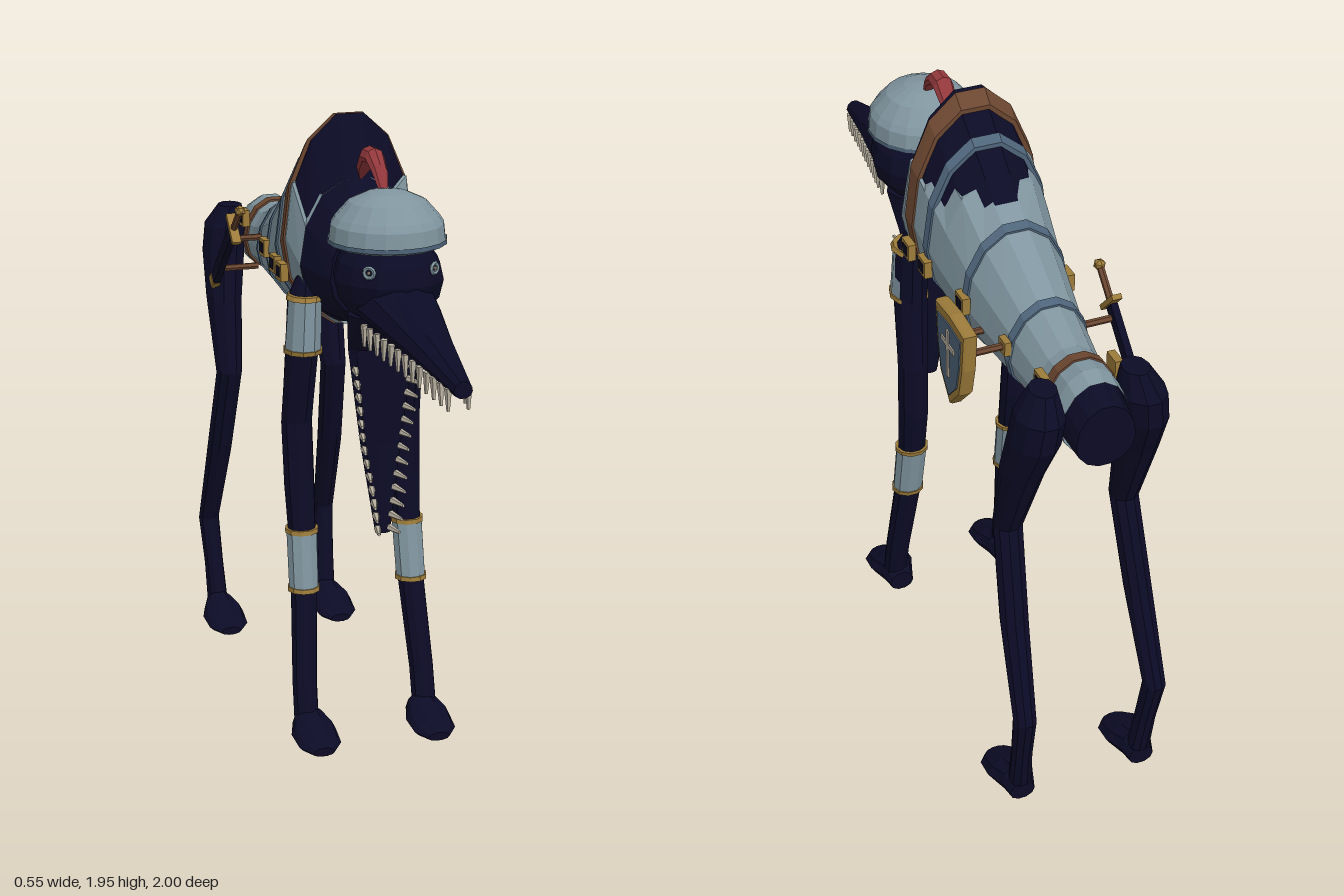
import * as THREE from 'three';

const mat = (name, color) => new THREE.MeshStandardMaterial({ name, color, flatShading: true, side: THREE.DoubleSide });

export function createModel() {
  const hide = mat('dark hide', 0x0c0b26), steel = mat('steel', 0x80959f), blue = mat('blue steel', 0x4e647a);
  const gold = mat('gold', 0x9c7b3a), brown = mat('brown leather', 0x6b4630), red = mat('red plume', 0x93383c);
  const bone = mat('bone', 0xb8b0a0);
  const root = new THREE.Group();
  const model = new THREE.Group();
  model.name = 'armouredBeast';
  model.position.x = -0.01;
  root.add(model);

  const add = (name, geo, m, x = 0, y = 0, z = 0, parent = model) => {
    const o = new THREE.Mesh(geo, m);
    o.name = name;
    o.position.set(x, y, z);
    parent.add(o);
    return o;
  };
  const box = (name, m, w, h, d, x, y, z, parent) => add(name, new THREE.BoxGeometry(w, h, d), m, x, y, z, parent);

  // Skin a list of equal rings, with optional end caps
  function loft(name, rings, m, caps = true) {
    const n = rings[0].length, pos = [];
    const tri = (...p) => p.forEach(v => pos.push(v.x, v.y, v.z));
    for (let i = 0; i < rings.length - 1; i++) for (let j = 0; j < n; j++) {
      const k = (j + 1) % n, [a, b, c, d] = [rings[i][j], rings[i][k], rings[i + 1][j], rings[i + 1][k]];
      tri(a, c, b);
      tri(b, c, d);
    }
    if (caps) [rings[0], rings[rings.length - 1]].forEach((r, e) => {
      const mid = r.reduce((s, v) => s.add(v), new THREE.Vector3()).divideScalar(n);
      for (let j = 0; j < n; j++) {
        const k = (j + 1) % n;
        tri(mid, r[e ? k : j], r[e ? j : k]);
      }
    });
    const g = new THREE.BufferGeometry();
    g.setAttribute('position', new THREE.Float32BufferAttribute(pos, 3));
    g.computeVertexNormals();
    return add(name, g, m);
  }
  // Interpolate a profile row by its first entry, which descends
  function rowAt(rows, t) {
    let i = 0;
    while (i < rows.length - 2 && t < rows[i + 1][0]) i++;
    const a = rows[i], b = rows[i + 1], f = (t - a[0]) / (b[0] - a[0]);
    return a.map((v, k) => v + (b[k] - v) * f);
  }
  // Upright ring across z from [z, top, bottom, halfWidth]
  function zRing([z, top, bottom, w], n = 14, off = 0, maxY = 9, cx = 0) {
    const yc = bottom + (top - bottom) * 0.42;
    return Array.from({ length: n }, (_, j) => {
      const t = (j / n) * Math.PI * 2, s = Math.sin(t);
      const y = yc + s * ((s > 0 ? top - yc : yc - bottom) + off);
      return new THREE.Vector3(cx + Math.cos(t) * (w + off), Math.min(y, maxY), z);
    });
  }
  // Level ring from [y, x, z, radiusX, radiusZ]
  const yRing = ([y, x, z, rx, rz], n = 10, off = 0, side = 1) => Array.from({ length: n }, (_, j) => {
    const t = (j / n) * Math.PI * 2;
    return new THREE.Vector3(x * side + Math.cos(t) * (rx + off), y, z - Math.sin(t) * (rz + off));
  });

  // Body and hump
  const body = [[0.18, 1.65, 1.36, 0.12], [0.08, 1.77, 1.32, 0.175], [0, 1.96, 1.3, 0.195], [-0.1, 1.88, 1.3, 0.187],
    [-0.23, 1.78, 1.29, 0.172], [-0.36, 1.68, 1.285, 0.152], [-0.6, 1.56, 1.295, 0.113], [-0.75, 1.51, 1.3, 0.096],
    [-0.88, 1.52, 1.285, 0.098], [-1, 1.48, 1.28, 0.09]];
  loft('body', body.map(r => zRing(r)), hide);
  const plates = [0.08, 0, -0.1, -0.23, -0.36, -0.48, -0.6, -0.75, -0.88, -0.93];
  loft('bodyArmour', plates.map(z => zRing(rowAt(body, z), 14, 0.008, 1.765)), steel, false);

  // Straps around the body, with buckles
  [[-0.04, 0.045, brown, 1], [-0.145, 0.025, blue, 1], [-0.365, 0.025, blue, 1], [-0.6, 0.025, blue, 0], [-0.81, 0.035, brown, 1]]
    .forEach(([z, w, m, buckle]) => {
      loft('bodyStrap', [z + w / 2, z - w / 2].map(q => zRing(rowAt(body, q), 14, 0.014)), m);
      if (buckle) for (const s of [-1, 1]) {
        const x = s * (rowAt(body, z)[3] + 0.014);
        box('buckle', gold, 0.024, 0.055, 0.058, x, 1.467, z);
        box('buckleCentre', hide, 0.005, 0.032, 0.034, x + s * 0.012, 1.467, z);
      }
    });

  // Neck, head and snout
  loft('neck', [[0.34, 1.65, 1.42, 0.1], [0.2, 1.65, 1.42, 0.1], [0.08, 1.68, 1.38, 0.13]].map(r => zRing(r, 10)), hide);
  add('head', new THREE.SphereGeometry(1, 12, 8), hide, 0, 1.53, 0.365).scale.set(0.165, 0.14, 0.17);
  const snout = [[1, 1.385, 1.335, 0.028], [0.75, 1.46, 1.365, 0.068], [0.5, 1.535, 1.395, 0.115], [0.34, 1.56, 1.4, 0.13]];
  loft('upperJaw', snout.map(r => zRing(r, 10)), hide);
  const jaw = [[1.42, 0, 0.36, 0.125, 0.09], [1.3, 0, 0.308, 0.105, 0.034], [1, 0, 0.303, 0.065, 0.025], [0.72, 0, 0.325, 0.024, 0.014]];
  loft('lowerJaw', jaw.map(r => yRing(r)), hide);

  // Teeth along both jaws
  const tooth = new THREE.CylinderGeometry(0.005, 0.012, 0.065, 5);
  for (const s of [-1, 1]) {
    for (let i = 0; i < 13; i++) {
      const z = 0.46 + i * 0.042, r = rowAt(snout, z);
      const u = add('upperTooth', tooth, bone, s * r[3] * 0.88, r[2] - 0.014, z);
      u.rotation.set(Math.PI + 0.1 * Math.sin(i * 5), 0, 0);
      const y = 0.735 + i * 0.042, q = rowAt(jaw, y);
      const l = add('lowerTooth', tooth, bone, s * q[3] * 0.95, y, q[2] + 0.034 + 0.006 * Math.sin(i * 7));
      l.rotation.set(Math.PI / 2, 0, -s * 0.25);
    }
    // Eyes
    const eye = new THREE.Group();
    eye.name = 'eye';
    eye.position.set(s * 0.1, 1.575, 0.488);
    eye.rotation.y = s * 0.6;
    model.add(eye);
    add('eyeRing', new THREE.TorusGeometry(0.015, 0.006, 5, 10), steel, 0, 0, 0, eye);
    add('pupil', new THREE.SphereGeometry(0.006, 6, 4), bone, 0, 0, 0.003, eye);
  }

  // Helmet with rim, crest ridge and plume
  const profile = [[0.16, 1.625], [0.174, 1.635], [0.168, 1.69], [0.155, 1.71], [0.115, 1.755], [0.06, 1.78], [0, 1.79]];
  add('helmet', new THREE.LatheGeometry(profile.map(p => new THREE.Vector2(...p)), 18), steel, 0, 0, 0.355);
  add('helmetRim', new THREE.CylinderGeometry(0.177, 0.177, 0.014, 18, 1, true), blue, 0, 1.64, 0.355);
  const plume = [[0.325, 1.77, 0.012, 0.012], [0.29, 1.825, 0.024, 0.022], [0.24, 1.862, 0.03, 0.025], [0.19, 1.86, 0.032, 0.026],
    [0.145, 1.82, 0.026, 0.022], [0.11, 1.775, 0.006, 0.006]];
  loft('plume', plume.map(([z, y, w, h]) => zRing([z, y + h, y - h, w], 8)), red);

  // Legs, feet and leg cuffs
  const front = [[1.47, 0.15, 0.04, 0.03, 0.035], [1.4, 0.165, 0.05, 0.05, 0.06], [1.25, 0.17, 0.05, 0.052, 0.062],
    [1, 0.178, 0.014, 0.05, 0.044], [0.8, 0.175, 0.028, 0.049, 0.045], [0.66, 0.174, 0.048, 0.045, 0.042],
    [0.46, 0.178, 0.083, 0.043, 0.041], [0.18, 0.195, 0.14, 0.04, 0.036], [0.06, 0.197, 0.165, 0.04, 0.036]];
  const hind = [[1.5, 0.14, -0.88, 0.04, 0.05], [1.43, 0.155, -0.895, 0.07, 0.09], [1.34, 0.165, -0.885, 0.072, 0.092],
    [1.2, 0.178, -0.835, 0.062, 0.075], [0.95, 0.185, -0.755, 0.045, 0.045], [0.65, 0.2, -0.848, 0.043, 0.047],
    [0.36, 0.212, -0.963, 0.036, 0.036], [0.2, 0.205, -0.93, 0.033, 0.032], [0.06, 0.2, -0.905, 0.036, 0.034]];
  const foot = [[0.33, 0.028, 0, 0.035], [0.29, 0.05, 0, 0.068], [0.22, 0.085, 0, 0.073], [0.16, 0.105, 0, 0.052], [0.12, 0.07, 0, 0.04]];
  for (const s of [-1, 1]) {
    loft('frontLeg', front.map(r => yRing(r, 10, 0, s)), hide);
    loft('hindLeg', hind.map(r => yRing(r, 10, 0, s)), hide);
    loft('frontFoot', foot.map(r => zRing(r, 10, 0, 9, s * 0.19)), hide);
    loft('hindFoot', foot.map(([z, ...r]) => zRing([z - 1.05, ...r], 10, 0, 9, s * 0.2)), hide);
    for (const [top, low, dz] of [[1.41, 1.24, 0.012], [0.655, 0.47, 0]]) {
      const band = (name, a, b, off, m) => loft(name, [a, b].map(y => yRing(rowAt(front, y), 10, off, s)), m).position.set(0, 0, dz);
      band('legCuff', top, low, 0.005, steel);
      band('cuffRim', top + 0.006, top - 0.008, 0.009, gold);
      band('cuffRim', low + 0.008, low - 0.006, 0.009, gold);
    }
  }

  // Shield on two pegs
  const shieldShape = k => {
    const p = [[0, -0.15], [0.07, -0.075], [0.093, 0.02], [0.105, 0.14], [0, 0.15], [-0.105, 0.14], [-0.093, 0.02], [-0.07, -0.075]];
    return new THREE.Shape(p.map(([u, v]) => new THREE.Vector2(u * k, v * k)));
  };
  const shield = new THREE.Group();
  shield.name = 'shield';
  shield.position.set(0.235, 1.392, -0.52);
  shield.rotation.y = Math.PI / 2;
  model.add(shield);
  const rim = { depth: 0.026, bevelEnabled: true, bevelThickness: 0.008, bevelSize: 0.004, bevelSegments: 1 };
  add('shieldRim', new THREE.ExtrudeGeometry(shieldShape(1), rim), gold, 0, 0, 0, shield);
  add('shieldFace', new THREE.ExtrudeGeometry(shieldShape(0.82), { depth: 0.006, bevelEnabled: false }), blue, 0, 0, 0.032, shield);
  box('crossUpright', bone, 0.016, 0.16, 0.006, 0, 0.025, 0.039, shield);
  box('crossBar', bone, 0.095, 0.016, 0.006, 0, 0.055, 0.039, shield);
  const peg = (x0, x1, y, z) => {
    add('peg', new THREE.CylinderGeometry(0.011, 0.011, Math.abs(x1 - x0), 6), brown, (x0 + x1) / 2, y, z).rotation.z = Math.PI / 2;
  };
  peg(0.09, 0.24, 1.45, -0.59);
  peg(0.09, 0.24, 1.42, -0.455);
  box('pegMount', gold, 0.02, 0.045, 0.045, 0.128, 1.45, -0.59);

  // Sheathed sword slung on the other side
  const hilt = new THREE.Vector3(-0.218, 1.575, -0.46), tip = new THREE.Vector3(-0.218, 1.25, -0.81);
  const sword = new THREE.Group();
  sword.name = 'sword';
  sword.position.copy(tip);
  sword.quaternion.setFromUnitVectors(new THREE.Vector3(0, 1, 0), hilt.clone().sub(tip).normalize());
  model.add(sword);
  box('scabbard', hide, 0.022, 0.33, 0.04, 0, 0.175, 0, sword);
  box('scabbardTip', gold, 0.026, 0.03, 0.044, 0, 0.012, 0, sword);
  box('guard', gold, 0.03, 0.016, 0.11, 0, 0.35, 0, sword);
  add('grip', new THREE.CylinderGeometry(0.011, 0.011, 0.1, 6), brown, 0, 0.405, 0, sword);
  add('pommel', new THREE.IcosahedronGeometry(0.019, 0), gold, 0, 0.464, 0, sword);
  peg(-0.08, -0.215, 1.45, -0.58);
  peg(-0.08, -0.215, 1.31, -0.755);

  return root;
}
